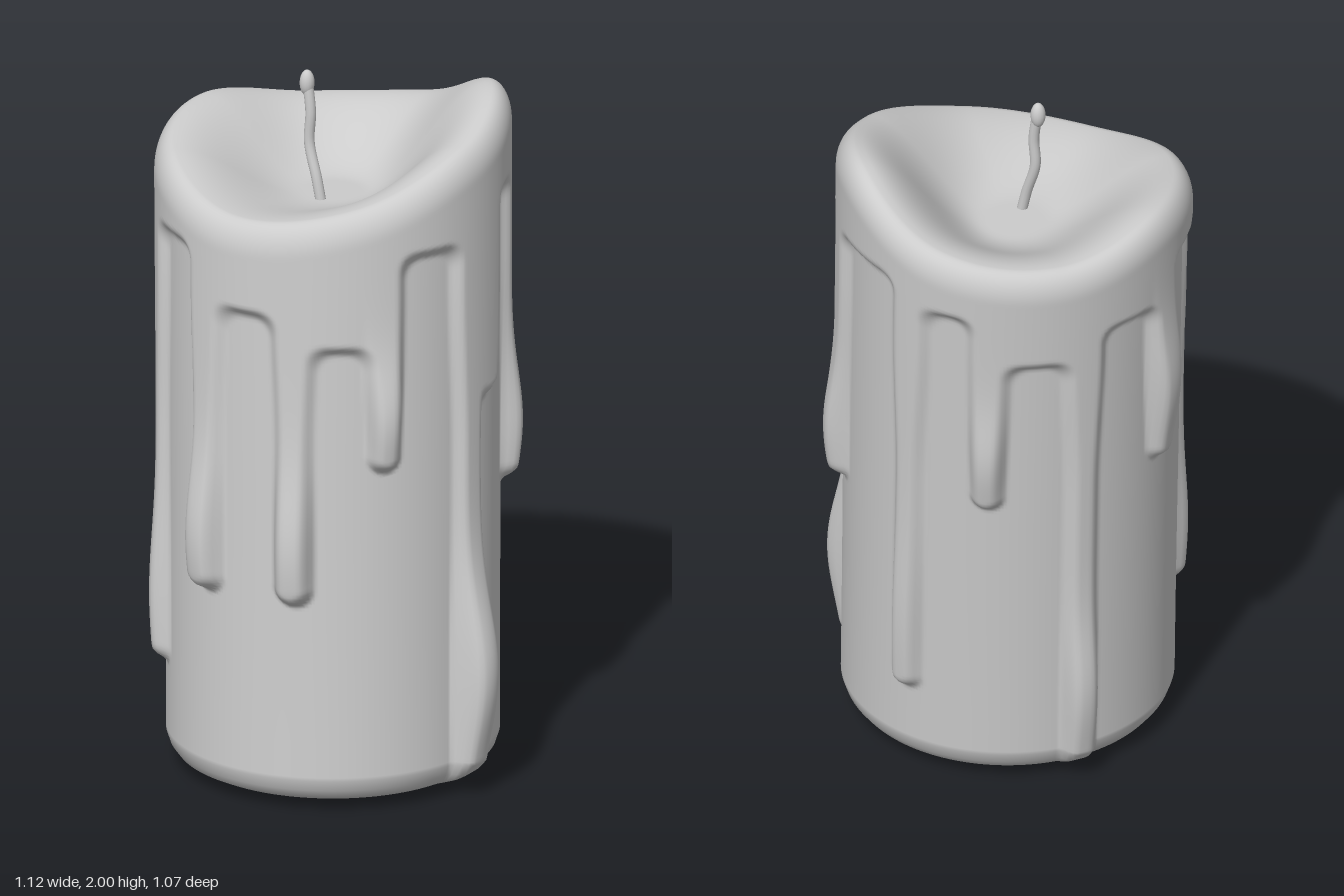
import * as THREE from 'three';

const SEG = 320;
const DEG = Math.PI / 180;
const R = 0.47; // mean radius used to measure distances round the wall

// Drips, by angle from +x towards +z:
// angle, tip height, half width, bulge, bulge height, bulge length,
// height of the arch between this drip and the next
const DRIPS = [
  [0, -0.1, 0.052, 0.07, 0.36, 0.26, 1.59],
  [35, 0.99, 0.04, 0.035, 1.14, 0.16, 1.335],
  [66, 0.61, 0.048, 0.04, 0.76, 0.22, 1.425],
  [100, 0.61, 0.05, 0.04, 0.76, 0.22, 1.575],
  [135, 0.32, 0.042, 0.022, 0.5, 0.25, 1.64],
  [182, 0.99, 0.046, 0.033, 1.25, 0.2, 1.53],
  [217, -0.1, 0.045, 0.035, 0.3, 0.22, 1.445],
  [250, 0.96, 0.041, 0.028, 1.12, 0.16, 1.6],
  [279, 0.29, 0.043, 0.016, 0.5, 0.3, 1.67],
  [323, 0.82, 0.046, 0.033, 0.98, 0.2, 1.69],
  [348, 1.14, 0.046, 0.0, 1.2, 0.2, 1.16],
];

// Rim height every 45 degrees
const RIM = [1.855, 1.735, 1.69, 1.775, 1.82, 1.765, 1.8, 1.93];

const smooth = (a, b, x) => THREE.MathUtils.smoothstep(x, a, b);
const mix = THREE.MathUtils.lerp;

function rimHeight(deg) {
  const n = RIM.length, u = (deg / 360) * n, i = Math.floor(u), t = u - i;
  const [p, q, r, s] = [-1, 0, 1, 2].map((k) => RIM[(i + k + n) % n]);
  return q + 0.5 * t * (r - p + t * (2 * p - 5 * q + 4 * r - s + t * (3 * (q - r) + s - p)));
}

// Smooth union, which rounds the corners where arches meet drips
function smoothMin(a, b, k) {
  const h = Math.max(k - Math.abs(a - b), 0) / k;
  return Math.min(a, b) - h * h * k * 0.25;
}

// Extra thickness of the run-down wax at one point of the wall
function waxThickness(deg, y) {
  const next = DRIPS.findIndex((d) => d[0] > deg);
  const panel = DRIPS[(next < 0 ? DRIPS.length : next) - 1];
  let dist = panel[6] - y, bulge = 0;
  for (const [angle, tip, halfWidth, amount, height, length] of DRIPS) {
    const turn = ((deg - angle + 540) % 360) - 180;
    const across = turn * DEG * R;
    const below = Math.max(tip + halfWidth - y, 0);
    const width = halfWidth + 0.016 * smooth(1.0, 1.5, y);
    const d = Math.hypot(across, below) - width;
    dist = smoothMin(dist, d, 0.06);
    const along = Math.exp(-(((y - height) / length) ** 2));
    // Round cross-section, blended into the wall at its edge
    const depth = THREE.MathUtils.clamp((0.015 - d) / (width + 0.015), 0, 1);
    bulge += amount * along * Math.sqrt(depth * (2 - depth)) * smooth(0, 0.4, depth);
  }
  return 0.028 * (1 - smooth(-0.026, 0.012, dist)) + bulge;
}

// One point of the leaning body
function place(deg, r, y) {
  const lean = y / 1.8;
  const a = deg * DEG;
  return [mix(0.015, -0.06, lean) + r * Math.cos(a), y, mix(0.053, -0.045, lean) + r * Math.sin(a)];
}

const wallRadius = (y) => mix(0.462, 0.467, smooth(0.2, 1.7, y));

function bodyGeometry() {
  // Each row is a function of the angle that gives radius and height
  const rows = [];
  // Underside with its round opening, then the rounded foot
  for (const [r, y] of [[0.245, 0.004], [0.3, 0.012], [0.36, 0.022], [0.405, 0.032], [0.434, 0.046], [0.452, 0.07]])
    rows.push((deg) => [r + waxThickness(deg, y) * smooth(0.0, 0.11, y), y]);
  // Wall with drips
  const WALL = 150;
  for (let i = 0; i <= WALL; i++)
    rows.push((deg) => {
      const y = mix(0.1, rimHeight(deg) - 0.09, i / WALL);
      return [wallRadius(y) + waxThickness(deg, y) * smooth(0, 0.11, y), y];
    });
  // Rounded lip
  for (let i = 1; i <= 12; i++)
    rows.push((deg) => {
      const t = (i / 12) * Math.PI / 2, y = rimHeight(deg) - 0.09;
      return [wallRadius(y) + waxThickness(deg, y) - 0.055 * (1 - Math.cos(t)), y + 0.09 * Math.sin(t)];
    });
  // Hollow of melted wax inside the lip
  for (let i = 1; i <= 28; i++)
    rows.push((deg) => {
      const t = i / 28;
      return [0.438 * (1 - t), mix(rimHeight(deg), 1.635, smooth(0, 0.8, t))];
    });

  const position = [], index = [];
  rows.forEach((row, i) => {
    for (let j = 0; j < SEG; j++) {
      const deg = (j / SEG) * 360;
      position.push(...place(deg, ...row(deg)));
      if (i === rows.length - 1) continue;
      const k = (j + 1) % SEG;
      const a = i * SEG + j, b = i * SEG + k, c = a + SEG, d = b + SEG;
      index.push(a, c, d, a, d, b);
    }
  });
  const geometry = new THREE.BufferGeometry();
  geometry.setAttribute('position', new THREE.Float32BufferAttribute(position, 3));
  geometry.setIndex(index);
  geometry.computeVertexNormals();
  return geometry;
}

export function createModel() {
  const model = new THREE.Group();
  model.name = 'candle';
  const grey = new THREE.MeshStandardMaterial({ color: 0xcccccc, side: THREE.DoubleSide });

  const body = new THREE.Mesh(bodyGeometry(), grey);
  body.name = 'waxBody';
  model.add(body);

  // Bent wick with a slightly thicker burnt tip
  const wick = new THREE.Group();
  wick.name = 'wick';
  const path = new THREE.CatmullRomCurve3([
    [-0.035, 1.6, 0.035], [-0.055, 1.69, 0.035], [-0.085, 1.79, 0.03],
    [-0.082, 1.88, 0.028], [-0.096, 1.975, 0.026],
  ].map((p) => new THREE.Vector3(...p)));
  const stem = new THREE.Mesh(new THREE.TubeGeometry(path, 32, 0.015, 12), grey);
  stem.name = 'wickStem';
  const tip = new THREE.Mesh(new THREE.SphereGeometry(0.021, 16, 12), grey);
  tip.name = 'wickTip';
  tip.scale.y = 1.8;
  tip.position.set(-0.096, 1.962, 0.026);
  wick.add(stem, tip);
  model.add(wick);

  return model;
}
